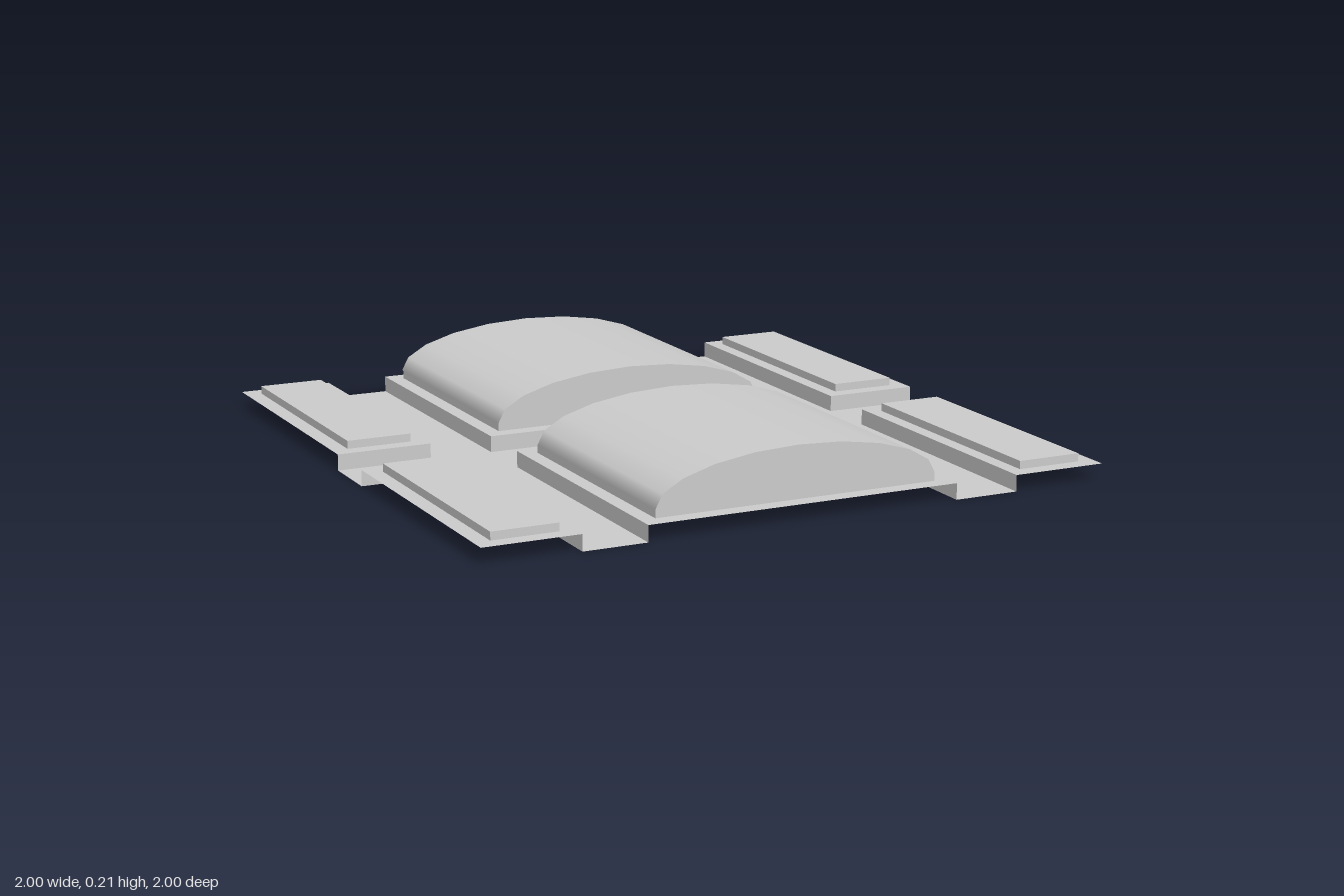
import * as THREE from 'three';

const material = new THREE.MeshStandardMaterial({ color: 0xcccccc, side: THREE.DoubleSide });
const FLOOR = 0, DECK = 0.05, PANEL = 0.075, CROWN = 0.21;

function add(parent, name, geometry) {
  const mesh = new THREE.Mesh(geometry, material);
  mesh.name = name;
  parent.add(mesh);
  return mesh;
}

// Flat rectangle facing up, with an optional rectangular opening
function sheet(parent, name, [x0, x1, z0, z1], y, hole) {
  const corners = (a, b, c, d) => [[a, -d], [b, -d], [b, -c], [a, -c]].map(p => new THREE.Vector2(...p));
  const shape = new THREE.Shape(corners(x0, x1, z0, z1));
  if (hole) shape.holes.push(new THREE.Path(corners(...hole)));
  add(parent, name, new THREE.ShapeGeometry(shape).rotateX(-Math.PI / 2).translate(0, y, 0));
}

// Upright walls round a rectangle; edges lying on the outer border stay open
function walls(parent, name, [x0, x1, z0, z1], y0, y1) {
  const ring = [[x0, z1], [x1, z1], [x1, z0], [x0, z0]];
  ring.forEach(([ax, az], i) => {
    const [bx, bz] = ring[(i + 1) % 4];
    const onBorder = (ax === bx && Math.abs(ax) === 1) || (az === bz && Math.abs(az) === 1);
    if (onBorder) return;
    const wall = new THREE.PlaneGeometry(Math.hypot(bx - ax, bz - az), y1 - y0);
    wall.rotateY(Math.atan2(-(bz - az), bx - ax));
    wall.translate((ax + bx) / 2, (y0 + y1) / 2, (az + bz) / 2);
    add(parent, name, wall);
  });
}

// Hollow half-elliptical vault with closed ends
function vault(parent, x0, x1, z0, z1) {
  const rx = (x1 - x0) / 2, cx = (x0 + x1) / 2, ry = CROWN - PANEL;
  const roof = new THREE.CylinderGeometry(1, 1, z1 - z0, 10, 1, true, Math.PI / 2, Math.PI);
  roof.rotateX(Math.PI / 2).scale(rx, ry, 1).translate(cx, PANEL, (z0 + z1) / 2);
  add(parent, 'vaultRoof', roof);
  for (const [z, turn] of [[z1, 0], [z0, Math.PI]]) {
    const end = new THREE.CircleGeometry(1, 10, 0, Math.PI);
    end.scale(rx, ry, 1).rotateY(turn).translate(cx, PANEL, z);
    add(parent, 'vaultEnd', end);
  }
}

export function createModel() {
  const model = new THREE.Group();
  model.name = 'vaultedPanelSheet';

  // Sunken cross-shaped channels
  const channels = new THREE.Group();
  channels.name = 'channels';
  model.add(channels);
  for (const [x0, x1] of [[-0.7, -0.5], [0.495, 0.7]]) sheet(channels, 'longChannel', [x0, x1, -1, 1], FLOOR);
  for (const [x0, x1] of [[-1, -0.7], [-0.5, 0.495], [0.7, 1]]) sheet(channels, 'crossChannel', [x0, x1, -0.1, 0.1], FLOOR);

  // Raised decks, each with an inset panel or vault
  const columns = [
    { deck: [-1, -0.7], inset: [-0.95, -0.745] },
    { deck: [-0.5, 0.495], inset: [-0.453, 0.451], vaulted: true },
    { deck: [0.7, 1], inset: [0.745, 0.95] },
  ];
  const rows = [
    { deck: [-1, -0.1], inset: [-0.95, -0.15], vault: [-0.962, -0.15] },
    { deck: [0.1, 1], inset: [0.147, 0.948], vault: [0.147, 0.948] },
  ];
  for (const row of rows) {
    for (const column of columns) {
      const bay = new THREE.Group();
      bay.name = column.vaulted ? 'vaultBay' : 'panelBay';
      model.add(bay);
      const deck = [...column.deck, ...row.deck];
      const inset = [...column.inset, ...row.inset];
      sheet(bay, 'deck', deck, DECK, inset);
      walls(bay, 'deckWall', deck, FLOOR, DECK);
      walls(bay, 'insetWall', inset, DECK, PANEL);
      if (column.vaulted) vault(bay, ...column.inset, ...row.vault);
      else sheet(bay, 'panel', inset, PANEL);
    }
  }
  return model;
}
